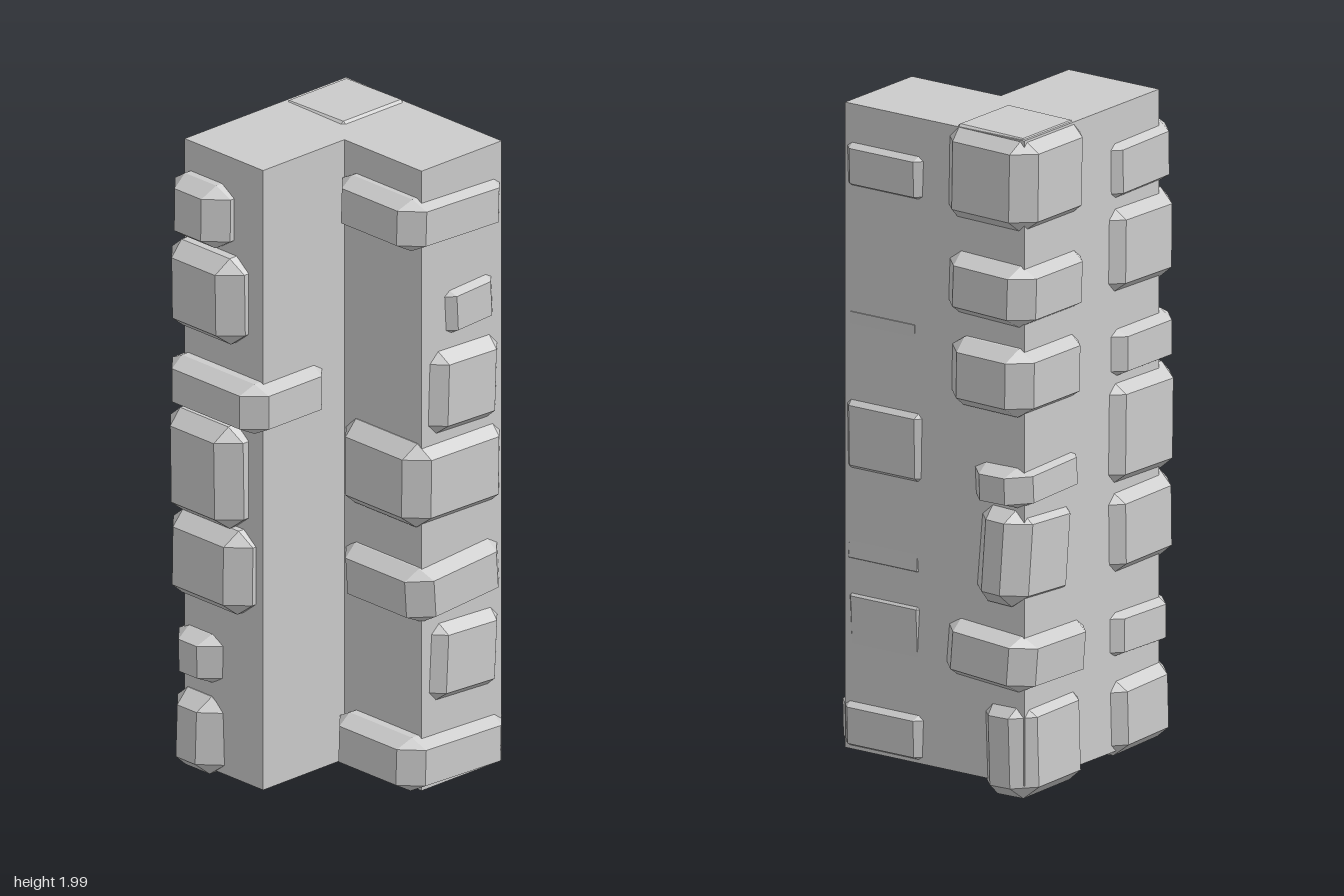
import * as THREE from 'three';
import { ConvexGeometry } from 'three/addons/geometries/ConvexGeometry.js';

const material = new THREE.MeshStandardMaterial({ color: 0xcccccc, flatShading: true });

// Chamfered block given by its extents, with a slight tilt in degrees about z and x
function stone(name, [x0, x1, y0, y1, z0, z1, tiltZ = 0, tiltX = 0]) {
  const hx = (x1 - x0) / 2, hy = (y1 - y0) / 2, hz = (z1 - z0) / 2;
  const side = 0.06, rise = Math.min(0.04, hy * 0.33), cap = 0.05;
  const points = [];
  for (const sx of [-1, 1]) for (const sy of [-1, 1]) for (const sz of [-1, 1]) {
    const y = sy * (hy - rise);
    points.push(
      new THREE.Vector3(sx * hx, y, sz * (hz - side)),
      new THREE.Vector3(sx * (hx - side), y, sz * hz),
      new THREE.Vector3(sx * (hx - cap), sy * hy, sz * (hz - cap)));
  }
  const mesh = new THREE.Mesh(new ConvexGeometry(points), material);
  mesh.name = name;
  mesh.position.set((x0 + x1) / 2, (y0 + y1) / 2, (z0 + z1) / 2);
  mesh.rotation.set(THREE.MathUtils.degToRad(tiltX), 0, THREE.MathUtils.degToRad(tiltZ));
  return mesh;
}

// Stones listed from top to bottom: x0, x1, y0, y1, z0, z1, tiltZ, tiltX
const columns = {
  frontStone: [
    [-0.06, 0.35, 1.735, 1.895, 0.0, 0.35, -2],
    [0.07, 0.325, 1.44, 1.60, 0.03, 0.345, 3],
    [0.02, 0.328, 1.14, 1.41, 0.01, 0.36, -2],
    [-0.045, 0.345, 0.87, 1.13, 0.0, 0.355, -1],
    [-0.04, 0.33, 0.585, 0.755, 0.0, 0.365, 4],
    [0.02, 0.333, 0.30, 0.56, 0.0, 0.355, -3],
    [-0.07, 0.35, 0.05, 0.215, 0.0, 0.358, -2],
  ],
  cornerStone: [
    [0.04, 0.37, 1.71, 1.995, -0.36, -0.035, 0, -1],
    [0.04, 0.38, 1.43, 1.615, -0.36, -0.045, 0, -2],
    [0.05, 0.39, 1.16, 1.365, -0.36, -0.065, 0, -1],
    [0.05, 0.38, 0.885, 1.005, -0.35, -0.14, -2, 1],
    [0.08, 0.38, 0.58, 0.875, -0.34, -0.155, 3, -2],
    [0.03, 0.38, 0.335, 0.505, -0.362, -0.04, 1, -4],
    [0.04, 0.36, 0.005, 0.295, -0.352, -0.16, -1, 1],
  ],
  sideStone: [
    [-0.39, -0.05, 1.70, 1.895, -0.35, -0.12, -1],
    [-0.39, -0.05, 1.42, 1.69, -0.36, -0.06, 1],
    [-0.39, -0.06, 1.17, 1.325, -0.36, 0.04],
    [-0.395, -0.05, 0.845, 1.165, -0.36, -0.06, 1],
    [-0.388, -0.05, 0.58, 0.84, -0.36, -0.03, -1],
    [-0.368, -0.05, 0.325, 0.475, -0.355, -0.16, 1],
    [-0.372, -0.06, 0.035, 0.275, -0.36, -0.16, -2],
  ],
};

export function createModel() {
  const group = new THREE.Group();
  group.name = 'cornerPillar';

  // L-shaped core; the shape's second axis becomes -z when laid flat
  const outline = [[-0.315, 0.325], [-0.315, 0], [0.01, 0], [0.01, -0.32], [0.33, -0.32], [0.33, 0.325]];
  const shape = new THREE.Shape(outline.map(([x, y]) => new THREE.Vector2(x, y)));
  const core = new THREE.ExtrudeGeometry(shape, { depth: 1.94, bevelEnabled: false });
  core.rotateX(-Math.PI / 2).translate(0, 0.05, 0);
  const pillar = new THREE.Mesh(core, material);
  pillar.name = 'wallCore';
  group.add(pillar);

  // Quoin stones around the three outer ends of the L
  for (const [name, list] of Object.entries(columns)) {
    const column = new THREE.Group();
    column.name = name + 'Column';
    list.forEach((extents, i) => column.add(stone(name + (i + 1), extents)));
    group.add(column);
  }
  return group;
}
